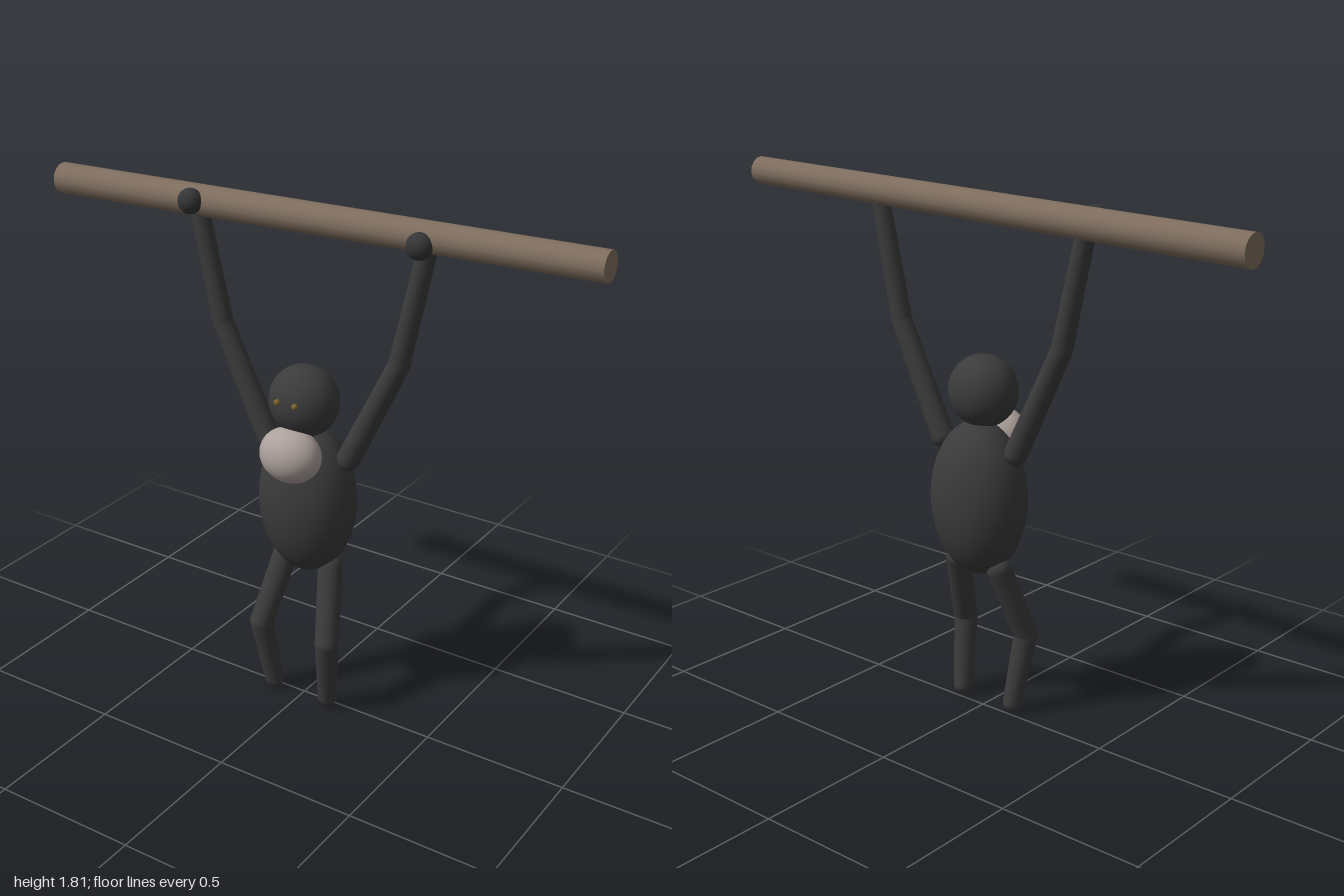
import * as THREE from 'three';

const fur = new THREE.MeshStandardMaterial({ color: 0x3b3b3b });
fur.name = 'dark fur';
const skin = new THREE.MeshStandardMaterial({ color: 0x343536 });
skin.name = 'dark skin';
const pale = new THREE.MeshStandardMaterial({ color: 0xada19c });
pale.name = 'pale throat';
const wood = new THREE.MeshStandardMaterial({ color: 0x7f6e5f });
wood.name = 'wood';
const amber = new THREE.MeshStandardMaterial({ color: 0x7d6430 });
amber.name = 'amber eye';

function ellipsoid(name, pos, radii, material, seg = 32) {
  const mesh = new THREE.Mesh(new THREE.SphereGeometry(1, seg, Math.ceil(seg * 0.75)), material);
  mesh.name = name;
  mesh.position.set(...pos);
  mesh.scale.set(...radii);
  return mesh;
}

// Tapered cylinder running from point a to point b
function rod(name, a, b, ra, rb, material, sides = 20) {
  const start = new THREE.Vector3(...a);
  const end = new THREE.Vector3(...b);
  const dir = end.clone().sub(start);
  const mesh = new THREE.Mesh(new THREE.CylinderGeometry(rb, ra, dir.length(), sides), material);
  mesh.name = name;
  mesh.position.copy(start).add(end).multiplyScalar(0.5);
  mesh.quaternion.setFromUnitVectors(new THREE.Vector3(0, 1, 0), dir.normalize());
  return mesh;
}

// Two tapered segments with rounded joints; side mirrors x
function limb(name, points, radii, side) {
  const group = new THREE.Group();
  group.name = name;
  const p = points.map(([x, y, z]) => [x * side, y, z]);
  p.forEach((point, i) => {
    const r = radii[i];
    group.add(ellipsoid(name + 'Joint', point, [r, r, r], fur, 20));
    if (i > 0) group.add(rod(name + 'Segment', p[i - 1], point, radii[i - 1], r, fur));
  });
  return group;
}

export function createModel() {
  const model = new THREE.Group();
  model.name = 'hangingApe';

  // Slightly tilted, tapering branch
  model.add(rod('branch', [-0.998, 1.703, -0.026], [0.998, 1.76, -0.024], 0.053, 0.048, wood, 16));

  // Torso, head and throat pouch
  model.add(ellipsoid('torso', [0, 0.766, -0.02], [0.174, 0.266, 0.143], fur));
  model.add(ellipsoid('head', [0, 1.127, 0.002], [0.12, 0.121, 0.109], fur));
  model.add(ellipsoid('throatPouch', [0, 0.963, 0.083], [0.109, 0.094, 0.083], pale));

  for (const side of [1, -1]) {
    const label = side > 0 ? 'left' : 'right';
    model.add(limb(label + 'Arm',
      [[0.158, 0.949, -0.021], [0.335, 1.315, -0.022], [0.42, 1.695, -0.021]],
      [0.04, 0.035, 0.031], side));
    model.add(ellipsoid(label + 'Hand', [0.42, 1.728, 0.026].map((v, i) => (i ? v : v * side)),
      [0.042, 0.042, 0.04], skin, 20));
    model.add(limb(label + 'Leg',
      [[0.09, 0.532, -0.023], [0.134, 0.282, 0.067], [0.111, 0.033, 0.025]],
      [0.043, 0.041, 0.033], side));
    model.add(ellipsoid(label + 'Eye', [0.034 * side, 1.15, 0.109], [0.011, 0.011, 0.011], amber, 12));
  }
  return model;
}
